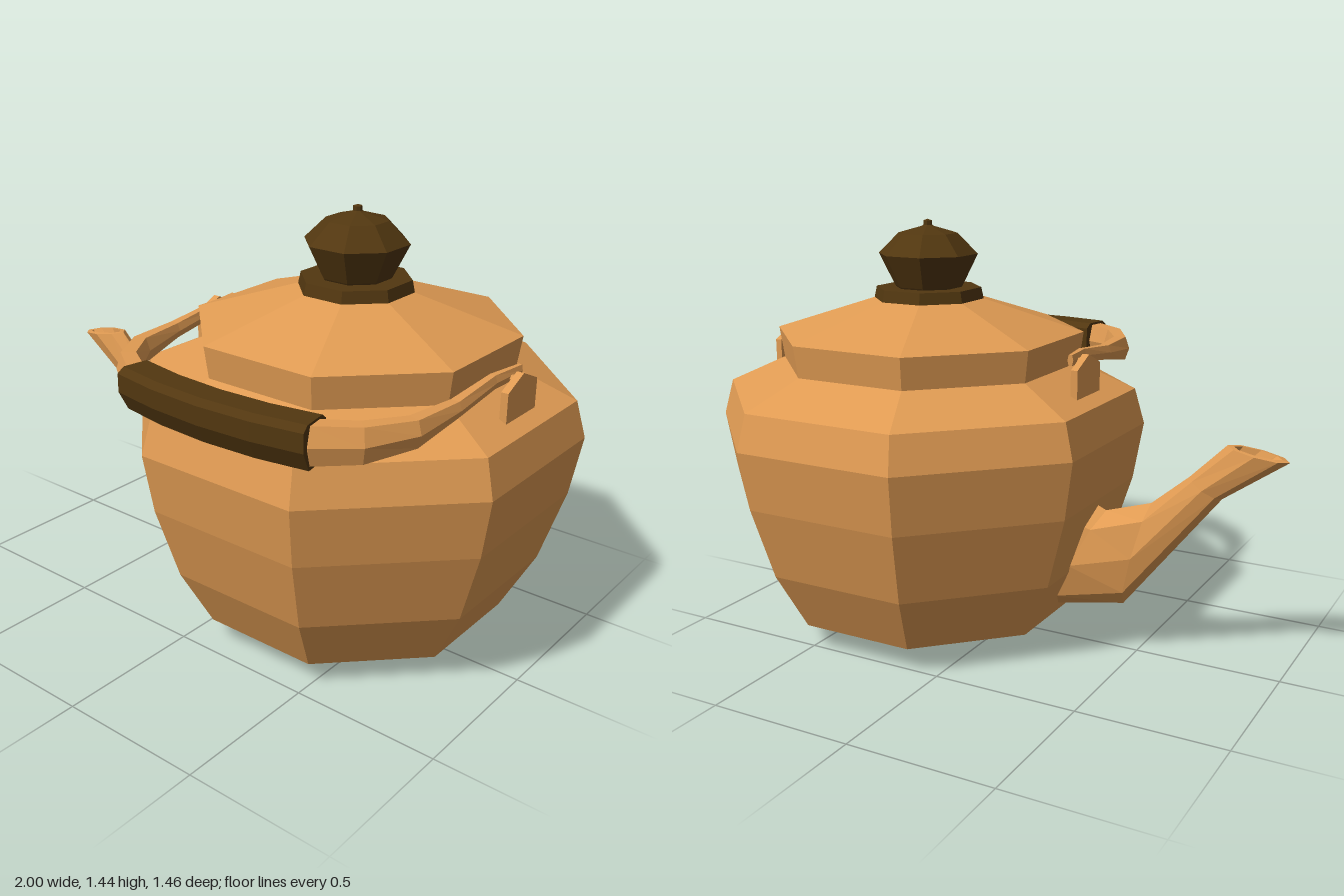
import * as THREE from 'three';

const CX = 0.3, CZ = -0.035; // axis of the pot
const V = (x, y, z) => new THREE.Vector3(x, y, z);

function material(name, color) {
  const m = new THREE.MeshStandardMaterial({ color, flatShading: true });
  m.name = name;
  return m;
}

function mesh(name, geometry, mat) {
  const m = new THREE.Mesh(geometry, mat);
  m.name = name;
  return m;
}

// Eight-sided turned part; profile is [apothem, y] from bottom to top, flats face the axes
function turned(name, profile, mat) {
  const k = 1 / Math.cos(Math.PI / 8);
  const pts = profile.map(([r, y]) => new THREE.Vector2(r * k, y));
  const m = mesh(name, new THREE.LatheGeometry(pts, 8, Math.PI / 8), mat);
  m.position.set(CX, 0, CZ);
  return m;
}

// Skin over cross-section rings (counter-clockwise about the travel direction), both ends capped
function loft(rings) {
  const n = rings[0].length, pos = [], idx = [];
  rings.forEach(r => r.forEach(p => pos.push(p.x, p.y, p.z)));
  for (let i = 0; i < rings.length - 1; i++) {
    for (let j = 0; j < n; j++) {
      const a = i * n + j, b = i * n + (j + 1) % n;
      idx.push(a, b, b + n, a, b + n, a + n);
    }
  }
  const e = (rings.length - 1) * n;
  for (let j = 1; j < n - 1; j++) {
    idx.push(0, j + 1, j);
    idx.push(e, e + j, e + j + 1);
  }
  const g = new THREE.BufferGeometry();
  g.setAttribute('position', new THREE.Float32BufferAttribute(pos, 3));
  g.setIndex(idx);
  g.computeVertexNormals();
  return g;
}

// Sweep along a path of [x offset, y, z, half height, half thickness], section in unit [up, out]
function strap(path, section) {
  const pts = path.map(([x, y, z]) => V(CX + x, y, z));
  return loft(pts.map((p, i) => {
    const t = pts[Math.min(i + 1, pts.length - 1)].clone().sub(pts[Math.max(i - 1, 0)]);
    t.y = 0;
    const out = t.normalize().cross(V(0, 1, 0));
    const [, , , h, w] = path[i];
    return section.map(([u, o]) => p.clone().addScaledVector(out, o * w).add(V(0, u * h, 0)));
  }));
}

// Mirror half a path (ending on the centre line) to the other side
const mirrored = half => [...half, ...half.slice(0, -1).reverse().map(([x, ...r]) => [-x, ...r])];

export function createModel() {
  const group = new THREE.Group();
  group.name = 'teapot';
  const copper = material('copper', 0xe09b53);
  const wood = material('dark wood', 0x523710);

  // Body, lid and knob
  group.add(turned('body', [[0, 0], [0.2, 0], [0.49, 0.085], [0.595, 0.29], [0.668, 0.54],
    [0.7, 0.74], [0.668, 0.863], [0.48, 0.955], [0, 0.955]], copper));
  group.add(turned('lid', [[0, 0.95], [0.485, 0.95], [0.5, 1.06], [0.165, 1.175], [0, 1.175]], copper));
  group.add(turned('knobBase', [[0, 1.17], [0.178, 1.17], [0.17, 1.21], [0, 1.21]], wood));
  group.add(turned('knob', [[0, 1.2], [0.1, 1.2], [0.11, 1.215], [0.16, 1.325], [0.095, 1.395],
    [0.02, 1.418], [0.014, 1.422], [0.014, 1.437], [0, 1.442]], wood));

  // Spout: [bottom x, y, top x, y, half width]; the last two rings form the hollow mouth
  const spout = [
    [-0.1, 0.115, -0.25, 0.56, 0.12], [-0.2, 0.13, -0.39, 0.5, 0.095],
    [-0.46, 0.18, -0.55, 0.55, 0.062], [-0.79, 0.6, -0.68, 0.66, 0.047],
    [-1, 0.748, -0.8, 0.78, 0.05], [-0.975, 0.755, -0.82, 0.778, 0.034],
    [-0.85, 0.655, -0.76, 0.69, 0.018],
  ].map(([bx, by, tx, ty, w]) => Array.from({ length: 8 }, (_, j) => {
    const a = j * Math.PI / 4, c = Math.cos(a);
    return V((bx + tx + (tx - bx) * c) / 2, (by + ty + (ty - by) * c) / 2, CZ - w * Math.sin(a));
  }));
  group.add(mesh('spout', loft(spout), copper));

  // Folded-down bail handle
  const bail = mirrored([
    [-0.575, 1.01, -0.09, 0.018, 0.01], [-0.555, 1.005, 0.04, 0.022, 0.017],
    [-0.55, 0.982, 0.24, 0.025, 0.025], [-0.53, 0.965, 0.42, 0.042, 0.035],
    [-0.45, 0.955, 0.55, 0.055, 0.04], [-0.34, 0.95, 0.625, 0.06, 0.045],
    [-0.18, 0.95, 0.65, 0.06, 0.045], [0, 0.95, 0.66, 0.06, 0.045],
  ]);
  group.add(mesh('handle', strap(bail, [[1, 0.6], [0, 1], [-1, 0.6], [-1, -0.6], [0, -1], [1, -0.6]]), copper));

  // Wooden grip around the middle of the handle
  const grip = mirrored([[-0.345, 0.948, 0.622, 0.07, 0.065], [-0.18, 0.948, 0.65, 0.07, 0.065],
    [0, 0.948, 0.66, 0.07, 0.065]]);
  group.add(mesh('grip', strap(grip, [[1, 0.65], [0.75, 1], [-0.1, 1], [-1, 0.5],
    [-1, -0.65], [-0.75, -1], [0.75, -1], [1, -0.65]]), wood));

  // Pointed handle lugs with pivot pins
  const lug = new THREE.Shape([[-0.088, 0.87], [0.088, 0.87], [0.088, 0.985], [0, 1.025], [-0.088, 0.985]]
    .map(([x, y]) => new THREE.Vector2(x, y)));
  for (const s of [-1, 1]) {
    const g = new THREE.ExtrudeGeometry(lug, { depth: 0.024, bevelEnabled: false });
    g.translate(0, 0, -0.012).rotateY(Math.PI / 2);
    const m = mesh(s > 0 ? 'leftLug' : 'rightLug', g, copper);
    m.position.set(CX + s * 0.605, 0, CZ);
    group.add(m);
    const pin = mesh('pivotPin', new THREE.CylinderGeometry(0.012, 0.012, 0.06, 6).rotateZ(Math.PI / 2), copper);
    pin.position.set(CX + s * 0.585, 1.0, CZ);
    group.add(pin);
  }
  return group;
}
